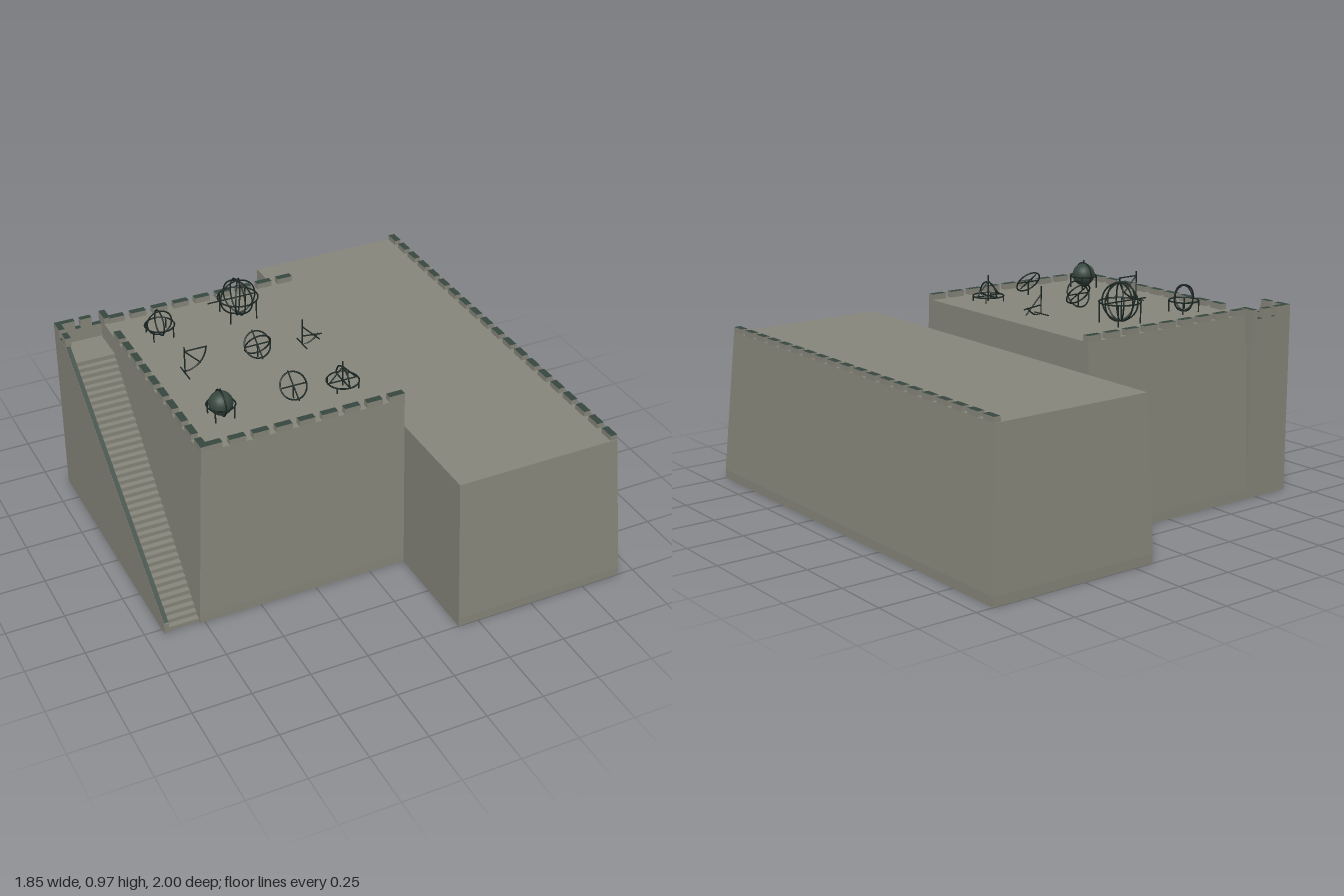
import * as THREE from 'three';

export function createModel() {
  const stone = new THREE.MeshStandardMaterial({ color: 0x87867b, side: THREE.DoubleSide });
  stone.name = 'stone';
  const green = new THREE.MeshStandardMaterial({ color: 0x37473f, side: THREE.DoubleSide });
  green.name = 'dark green coping';
  const iron = new THREE.MeshStandardMaterial({ color: 0x1c2824 });
  iron.name = 'dark iron';

  const model = new THREE.Group();
  model.name = 'observatory';
  const V = (x, y, z) => new THREE.Vector3(x, y, z);

  function add(parent, name, geometry, material) {
    const mesh = new THREE.Mesh(geometry, material);
    mesh.name = name;
    parent.add(mesh);
    return mesh;
  }

  // flat faces from a list of four-cornered loops
  function quads(list) {
    const pts = [];
    for (const [a, b, c, d] of list) pts.push(a, b, c, a, c, d);
    const g = new THREE.BufferGeometry().setFromPoints(pts);
    g.computeVertexNormals();
    return g;
  }

  // open-bottomed masonry block from rectangular sections [y, x0, x1, z0, z1]
  function block(name, sections) {
    const loops = sections.map(([y, x0, x1, z0, z1]) =>
      [V(x0, y, z1), V(x1, y, z1), V(x1, y, z0), V(x0, y, z0)]);
    const faces = [];
    for (let k = 0; k + 1 < loops.length; k++) {
      for (let i = 0; i < 4; i++) {
        const j = (i + 1) % 4;
        faces.push([loops[k][i], loops[k][j], loops[k + 1][j], loops[k + 1][i]]);
      }
    }
    faces.push(loops[loops.length - 1]);
    add(model, name, quads(faces), stone);
  }

  // stone box with a green top face
  const capped = [stone, stone, green, stone, stone, stone];
  function cappedBox(name, x0, x1, y0, y1, z0, z1) {
    add(model, name, new THREE.BoxGeometry(x1 - x0, y1 - y0, z1 - z0), capped)
      .position.set((x0 + x1) / 2, (y0 + y1) / 2, (z0 + z1) / 2);
  }

  // row of merlons along x or z
  function merlons(name, axis, from, to, count, c0, c1, y0, y1) {
    const pitch = (to - from + 0.03) / count;
    for (let i = 0; i < count; i++) {
      const a = from + i * pitch, b = a + pitch - 0.03;
      if (axis === 'x') cappedBox(name, a, b, y0, y1, c0, c1);
      else cappedBox(name, c0, c1, y0, y1, a, b);
    }
  }

  // long rampart and taller tower, both battered above a plinth
  block('rampart', [[0, 0.16, 0.925, -1, 1], [0.04, 0.16, 0.925, -1, 1], [0.67, 0.16, 0.88, -0.953, 0.953]]);
  block('tower', [[0, -0.77, 0.16, -0.64, 0.53], [0.04, -0.77, 0.16, -0.64, 0.53], [0.8, -0.722, 0.16, -0.6, 0.495]]);
  merlons('rampartMerlon', 'z', -0.95, 0.95, 20, 0.85, 0.88, 0.67, 0.692);
  merlons('towerFrontMerlon', 'x', -0.7, 0.16, 9, 0.465, 0.495, 0.8, 0.825);
  merlons('towerBackMerlon', 'x', -0.7, 0.16, 9, -0.6, -0.57, 0.8, 0.825);
  merlons('towerSideMerlon', 'z', -0.46, 0.495, 10, -0.722, -0.692, 0.8, 0.825);

  // flight of steps beside the tower, with a landing on top
  const steps = 40, rise = 0.725 / steps, zStart = 0.52, run = 0.99 / steps;
  const wallX = y => -0.77 + 0.063 * y + 0.003;
  const faces = [];
  for (let i = 0; i < steps; i++) {
    const y0 = i * rise, y1 = y0 + rise, z0 = zStart - i * run;
    const z1 = i === steps - 1 ? -0.615 : z0 - run;
    const l = -0.91, r = wallX(y1);
    faces.push([V(l, y0, z0), V(r, y0, z0), V(r, y1, z0), V(l, y1, z0)]);
    faces.push([V(l, y1, z0), V(r, y1, z0), V(r, y1, z1), V(l, y1, z1)]);
  }
  add(model, 'stairs', quads(faces), stone);

  // sloping outer wall of the stair and its coping
  const side = new THREE.Shape([[0.53, 0], [0.53, 0.05], [-0.49, 0.78], [-0.64, 0.78], [-0.64, 0]]
    .map(p => new THREE.Vector2(...p)));
  const sideGeo = new THREE.ExtrudeGeometry(side, { depth: 0.02, bevelEnabled: false });
  sideGeo.rotateY(-Math.PI / 2);
  add(model, 'stairWall', sideGeo, stone).position.x = -0.905;
  const a = -0.925, b = -0.905;
  add(model, 'stairCoping', quads([
    [V(a, 0.053, 0.53), V(b, 0.053, 0.53), V(b, 0.783, -0.49), V(a, 0.783, -0.49)],
    [V(a, 0.783, -0.49), V(b, 0.783, -0.49), V(b, 0.783, -0.64), V(a, 0.783, -0.64)],
  ]), green);

  // upright wall behind the landing
  cappedBox('landingWall', -0.925, -0.7, 0, 0.785, -0.64, -0.615);
  cappedBox('landingMerlon', -0.925, -0.84, 0.785, 0.825, -0.64, -0.615);
  cappedBox('landingMerlon', -0.815, -0.765, 0.785, 0.825, -0.64, -0.615);
  cappedBox('landingMerlon', -0.925, -0.9, 0.785, 0.825, -0.615, -0.57);
  cappedBox('landingMerlon', -0.925, -0.9, 0.785, 0.825, -0.54, -0.49);
  cappedBox('landingPost', -0.722, -0.695, 0.68, 0.828, -0.648, -0.575);

  // instrument helpers; heights are measured from the tower deck
  function instrument(name, x, z) {
    const g = new THREE.Group();
    g.name = name;
    g.position.set(x, 0.8, z);
    model.add(g);
    return g;
  }
  function ring(g, r, y, rx = 0, ry = 0, arc = Math.PI * 2) {
    const m = add(g, 'ring', new THREE.TorusGeometry(r, 0.0035, 5, 36, arc), iron);
    m.position.y = y;
    m.rotation.set(rx, ry, 0);
    return m;
  }
  function rod(g, p, q, r = 0.003) {
    const from = V(...p), d = V(...q).sub(from);
    const m = add(g, 'rod', new THREE.CylinderGeometry(r, r, d.length(), 6), iron);
    m.position.copy(from).addScaledVector(d, 0.5);
    m.quaternion.setFromUnitVectors(V(0, 1, 0), d.normalize());
  }
  function legs(g, r, y, count = 4) {
    for (let i = 0; i < count; i++) {
      const t = (i + 0.5) / count * Math.PI * 2;
      rod(g, [Math.cos(t) * r, 0, Math.sin(t) * r], [Math.cos(t) * r, y, Math.sin(t) * r]);
    }
  }
  const H = Math.PI / 2;

  // large armillary sphere with sighting bar
  const big = instrument('armillarySphere', -0.175, -0.4);
  ring(big, 0.08, 0.09);
  ring(big, 0.087, 0.09, H);
  ring(big, 0.08, 0.09, 0, H);
  ring(big, 0.078, 0.09, 0, 1.05);
  ring(big, 0.078, 0.09, 0, -1.05);
  rod(big, [-0.14, 0.09, 0], [0.085, 0.09, 0]);
  legs(big, 0.085, 0.09);

  // small armilla
  const small = instrument('smallArmilla', -0.54, -0.39);
  ring(small, 0.063, 0.05, H);
  ring(small, 0.055, 0.06);
  ring(small, 0.055, 0.06, 0, H);
  legs(small, 0.063, 0.05);

  // celestial globe in a horizon ring
  const globe = instrument('celestialGlobe', -0.55, 0.29);
  add(globe, 'globe', new THREE.SphereGeometry(0.05, 20, 14), green).position.y = 0.06;
  ring(globe, 0.058, 0.055, H);
  ring(globe, 0.054, 0.06, 0, H);
  rod(globe, [0, 0.1, 0], [0, 0.125, 0]);
  legs(globe, 0.058, 0.055);

  // tilted equatorial rings
  for (const [z, double] of [[-0.05, true], [0.3, false]]) {
    const g = instrument('equatorialRing', -0.24, z);
    ring(g, 0.057, 0.06, -0.65);
    if (double) ring(g, 0.057, 0.06, 0.4);
    rod(g, [0, 0.02, 0.055], [0, 0.1, -0.055]);
    rod(g, [-0.057, 0.06, 0], [0.057, 0.06, 0]);
    rod(g, [0, 0, 0], [0, 0.06, 0]);
  }

  // upright quadrant
  const quadrant = instrument('quadrant', -0.56, -0.06);
  rod(quadrant, [0, 0, 0], [0, 0.125, 0]);
  rod(quadrant, [0, 0.105, 0], [0.1, 0.105, 0]);
  rod(quadrant, [0, 0.105, 0], [0.07, 0.035, 0]);
  ring(quadrant, 0.095, 0.105, 0, 0, H).rotation.z = -H;
  rod(quadrant, [0, 0.002, -0.05], [0, 0.002, 0.05]);

  // gnomon with braced mast and low arc
  const gnomon = instrument('gnomon', -0.03, -0.06);
  rod(gnomon, [0, 0, 0], [0, 0.12, 0]);
  rod(gnomon, [0, 0.04, 0], [0.09, 0.03, 0]);
  rod(gnomon, [0, 0.085, 0], [0.08, 0.005, 0]);
  ring(gnomon, 0.088, 0.085, 0, 0, 1).rotation.z = -H;
  rod(gnomon, [0, 0.002, -0.05], [0, 0.002, 0.045]);

  // horizon circle with crossed bars and a braced mast
  const dial = instrument('horizonCircle', -0.02, 0.3);
  ring(dial, 0.067, 0.025, H);
  legs(dial, 0.067, 0.025);
  rod(dial, [0, 0, 0], [0, 0.115, 0]);
  for (const s of [-1, 1]) {
    rod(dial, [0, 0.025, 0], [s * 0.067, 0.025, 0]);
    rod(dial, [0, 0.025, 0], [0, 0.025, s * 0.067]);
    rod(dial, [0, 0.09, 0], [s * 0.06, 0.025, 0]);
  }
  ring(dial, 0.06, 0.025, 0, H, Math.PI);

  return model;
}
